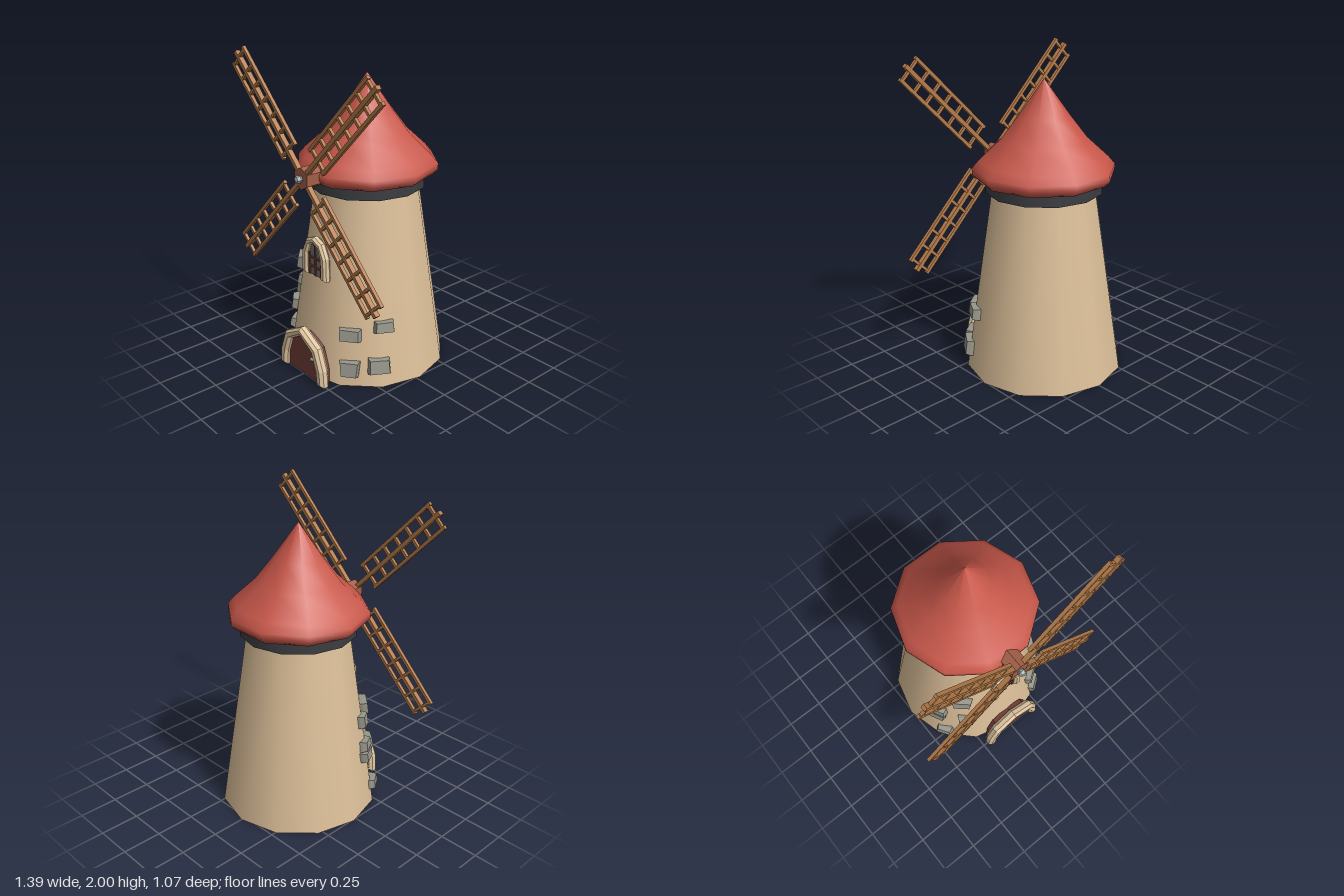
import * as THREE from 'three';

const mat = (name, color) => Object.assign(new THREE.MeshStandardMaterial({ color }), { name });

export function createModel() {
  const plaster = mat('plaster', 0xdcbf99), trim = mat('trim', 0xdfc5a0), red = mat('roofRed', 0xc8574a);
  const band = mat('darkBand', 0x3a3d41), wood = mat('wood', 0xb67c4a), hubWood = mat('hubWood', 0xa45f48);
  const doorWood = mat('doorWood', 0x733d37), stone = mat('stone', 0x98978c), glass = mat('glass', 0x77736e);
  stone.flatShading = true;
  const metal = mat('metal', 0x9aa19f);
  metal.flatShading = true;

  const model = new THREE.Group();
  model.name = 'windmill';
  const CZ = -0.025; // tower axis
  const add = (name, geo, material, x = 0, y = 0, z = 0, parent = model) => {
    const m = new THREE.Mesh(geo, material);
    m.name = name;
    m.position.set(x, y, z);
    parent.add(m);
    return m;
  };
  const radiusAt = (y) => 0.51 - 0.153 * y;

  // Twelve-sided tower and the dark ring under the roof
  add('tower', new THREE.CylinderGeometry(radiusAt(1.2), 0.51, 1.2, 12), plaster, 0, 0.6, CZ);
  add('roofBand', new THREE.CylinderGeometry(0.365, 0.368, 0.09, 12), band, 0, 1.222, CZ);

  // Ten-sided flared roof
  const profile = [[0, 1.252], [0.41, 1.252], [0.443, 1.285], [0.443, 1.325], [0.4, 1.375],
    [0.265, 1.5], [0.155, 1.645], [0, 1.865]].map(([x, y]) => new THREE.Vector2(x, y));
  add('roof', new THREE.LatheGeometry(profile, 10), red, 0, 0, CZ).rotation.y = Math.PI / 2;

  // Arches: half profiles run from the foot up to the peak and are mirrored
  const mirrored = (half) => [
    ...half, ...half.slice(0, -1).reverse().map(([x, y]) => [-x, y]),
  ].map(([x, y]) => new THREE.Vector2(x, y));
  const archFrame = (outer, inner, depth, bevel) => {
    const shape = new THREE.Shape([...mirrored(outer), ...mirrored(inner).reverse()]);
    const geo = new THREE.ExtrudeGeometry(shape, {
      depth: depth - 2 * bevel, bevelEnabled: true, bevelThickness: bevel,
      bevelSize: bevel * 0.8, bevelOffset: -bevel * 0.8, bevelSegments: 1,
    });
    return geo.translate(0, 0, bevel);
  };
  const archPanel = (half, depth) =>
    new THREE.ExtrudeGeometry(new THREE.Shape(mirrored(half)), { depth, bevelEnabled: false });

  // Door
  const doorOuter = [[0.22, 0], [0.213, 0.11], [0.162, 0.248], [0, 0.337]];
  const doorInner = [[0.16, 0], [0.15, 0.1], [0.11, 0.21], [0, 0.28]];
  add('doorFrame', archFrame(doorOuter, doorInner, 0.07, 0.02), trim, 0, 0, 0.465);
  add('door', archPanel([[0.175, 0], [0.165, 0.1], [0.12, 0.22], [0, 0.29]], 0.07), doorWood, 0, 0, 0.43);
  add('doorKnob', new THREE.SphereGeometry(0.013, 8, 6), metal, 0.09, 0.145, 0.508);

  // Window
  const winOuter = [[0.115, 0.648], [0.112, 0.8], [0.07, 0.885], [0, 0.915]];
  const winInner = [[0.065, 0.648], [0.065, 0.79], [0.042, 0.85], [0, 0.872]];
  add('windowFrame', archFrame(winOuter, winInner, 0.055, 0.015), trim, 0, 0, 0.36);
  add('windowPane', archPanel([[0.075, 0.65], [0.075, 0.79], [0.05, 0.86], [0, 0.885]], 0.04), glass, 0, 0, 0.35);
  for (const y of [0.71, 0.77]) {
    add('windowBar', new THREE.BoxGeometry(0.13, 0.013, 0.009), doorWood, 0, y, 0.393);
  }
  for (const x of [-0.058, 0, 0.058]) {
    const h = x ? 0.15 : 0.215;
    add('windowPost', new THREE.BoxGeometry(0.013, h, 0.009), doorWood, x, 0.65 + h / 2, 0.393);
  }

  // Wall stones: angle around the tower in degrees, height, width, thickness across the wall
  const stones = [
    [36, 0.335, 0.127, 0.08], [62.5, 0.395, 0.127, 0.08], [36.5, 0.12, 0.118, 0.09], [58, 0.14, 0.13, 0.105],
    [-61, 0.606, 0.09, 0.085], [-42, 0.637, 0.125, 0.075], [-62, 0.435, 0.1, 0.075],
    [-63, 0.366, 0.12, 0.064], [-38, 0.348, 0.1, 0.07], [-56, 0.13, 0.11, 0.07],
  ];
  const stoneGeometry = (w, h, seed) => {
    const g = new THREE.BoxGeometry(w, h, 0.06, 1, 1, 2);
    const p = g.attributes.position;
    for (let i = 0; i < p.count; i++) {
      const x = p.getX(i), y = p.getY(i), z = p.getZ(i);
      const k = z > 0.02 ? 0.88 : 1; // outer face slightly narrowed
      const skew = 0.006 * Math.sin(seed * 2.3 + Math.sign(x) * 1.7 + Math.sign(y));
      p.setXYZ(i, x * k + skew, y * k + skew * Math.sign(x), z);
    }
    g.computeVertexNormals();
    return g;
  };
  stones.forEach(([deg, y, w, h], i) => {
    const a = THREE.MathUtils.degToRad(deg), r = radiusAt(y) + 0.003;
    const s = add('wallStone', stoneGeometry(w, h, i), stone, r * Math.sin(a), y, CZ + r * Math.cos(a));
    s.rotation.set(-0.15, a, 0, 'YXZ');
  });

  // Hub and its metal cap
  const rotor = new THREE.Group();
  rotor.name = 'rotor';
  rotor.position.set(0, 1.305, 0.465);
  model.add(rotor);
  hubWood.flatShading = true;
  add('hub', new THREE.CylinderGeometry(0.07, 0.07, 0.2, 6).rotateX(Math.PI / 2), hubWood, 0, 0, -0.08, rotor);
  add('hubCap', new THREE.SphereGeometry(0.027, 6, 4).rotateX(Math.PI / 2), metal, 0, 0, 0.035, rotor);

  // Four lattice sails
  for (let i = 0; i < 4; i++) {
    const sail = new THREE.Group();
    sail.name = 'sail';
    sail.rotation.z = Math.PI / 4 + i * Math.PI / 2;
    rotor.add(sail);
    add('spar', new THREE.BoxGeometry(0.895, 0.026, 0.032), wood, 0.4675, 0, 0, sail);
    for (const side of [-1, 1]) {
      add('rail', new THREE.BoxGeometry(0.71, 0.021, 0.022), wood, 0.535, side * 0.081, 0, sail);
    }
    for (let k = 0; k < 7; k++) {
      add('crossbar', new THREE.BoxGeometry(0.018, 0.17, 0.02), wood, 0.2 + k * 0.112, 0, 0, sail);
    }
  }
  return model;
}
